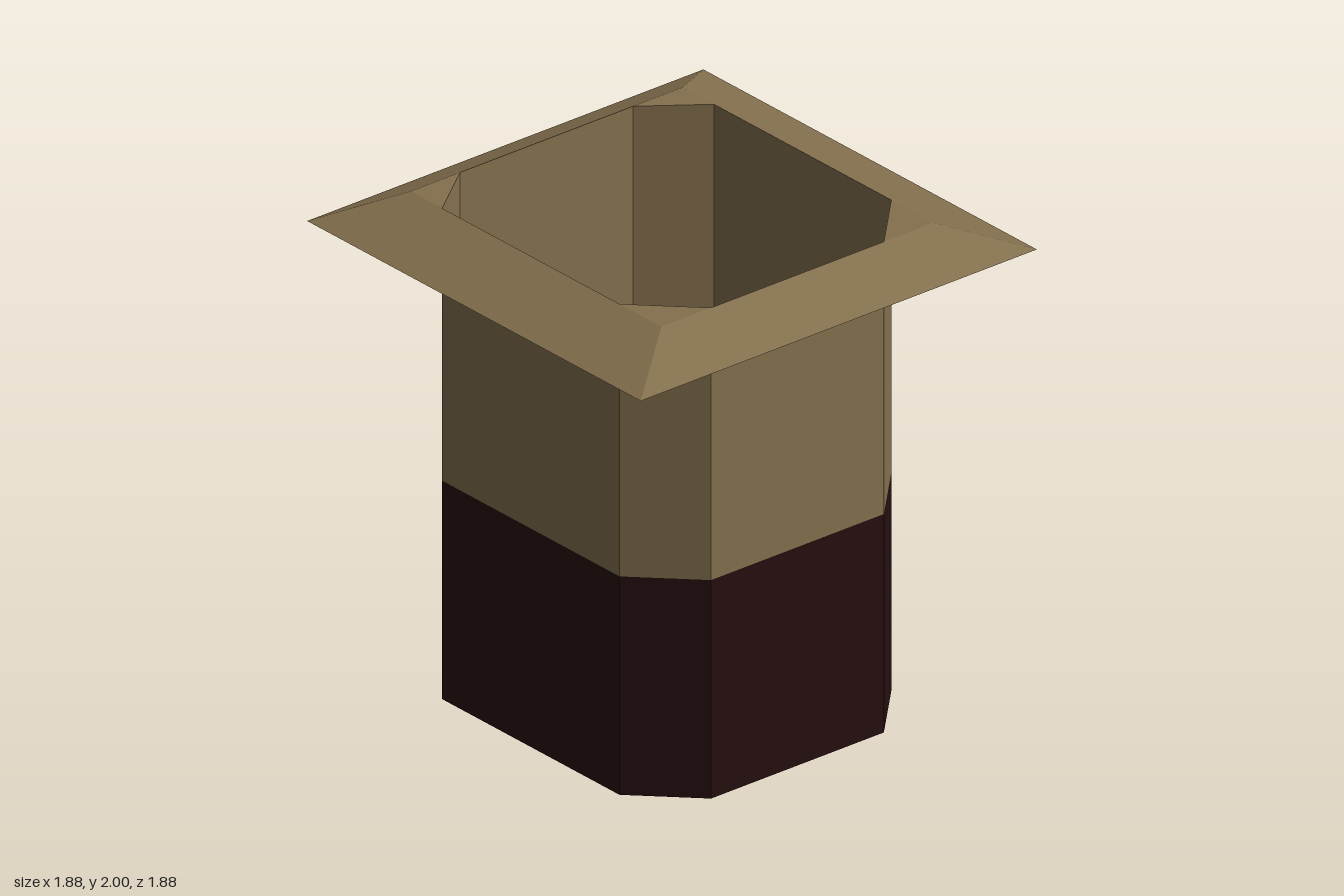
import * as THREE from 'three';

// Sheet of flat quads between two matching rings of [x, z] points
function loft(lower, y0, upper, y1) {
  const pos = [];
  lower.forEach((p, i) => {
    const j = (i + 1) % lower.length;
    const a0 = [p[0], y0, p[1]], a1 = [lower[j][0], y0, lower[j][1]];
    const b0 = [upper[i][0], y1, upper[i][1]], b1 = [upper[j][0], y1, upper[j][1]];
    pos.push(...a0, ...b0, ...b1, ...a0, ...b1, ...a1);
  });
  const g = new THREE.BufferGeometry();
  g.setAttribute('position', new THREE.Float32BufferAttribute(pos, 3));
  g.computeVertexNormals();
  return g;
}

const rect = (x, z) => [[x, -z], [x, z], [-x, z], [-x, -z]];
const points = (ring, s) => ring.map(([x, z]) => new THREE.Vector2(x, s * z));

export function createModel() {
  const group = new THREE.Group();
  const material = (name, color) => {
    const m = new THREE.MeshStandardMaterial({ color, flatShading: true, side: THREE.DoubleSide });
    m.name = name;
    return m;
  };
  const tan = material('tan', 0x84704e);
  const darkBrown = material('darkBrown', 0x260f10);
  const add = (name, geometry, mat) => {
    const mesh = new THREE.Mesh(geometry, mat);
    mesh.name = name;
    group.add(mesh);
    return mesh;
  };

  const W = 0.645, D = 0.707, split = 0.89, rimY = 1.885, top = 2;

  // Chamfered plan, with slightly larger chamfers at the front
  const plan = [
    [W, -0.53], [W, 0.47], [0.41, D], [-0.41, D],
    [-W, 0.47], [-W, -0.53], [-0.41, -D], [0.41, -D],
  ];

  // Hollow body in two colours, closed at the bottom
  add('lowerWall', loft(plan, 0, plan, split), darkBrown);
  add('upperWall', loft(plan, split, plan, top), tan);
  const floor = new THREE.ShapeGeometry(new THREE.Shape(points(plan, 1)));
  add('floor', floor.rotateX(Math.PI / 2), darkBrown);

  // Sloping rim sheet
  add('rimSlope', loft(rect(0.94, 0.94), rimY, rect(W, D), top), tan);

  // Flat triangles filling the rim's inner corners
  [[0, 1, -1], [1, 1, 1], [4, -1, 1], [5, -1, -1]].forEach(([i, sx, sz]) => {
    const side = plan[i];
    const corner = [[sx * W, sz * D], side, [sx * 0.41, sz * D]];
    const g = new THREE.ShapeGeometry(new THREE.Shape(points(corner, -1)));
    add('rimCorner', g.rotateX(-Math.PI / 2), tan).position.y = top;
  });

  return group;
}
